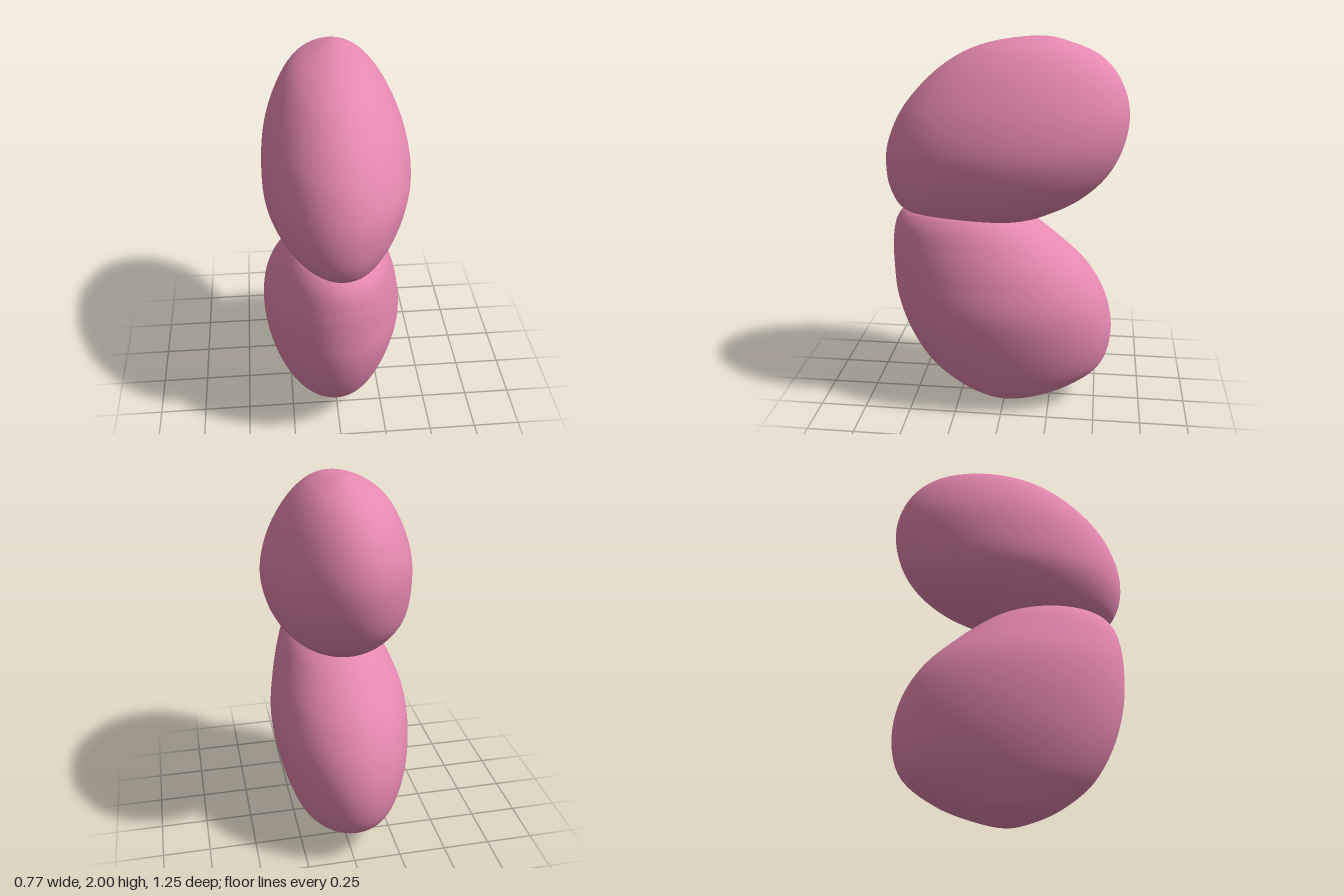
import * as THREE from 'three';

const material = new THREE.MeshStandardMaterial({ color: 0xe688b0 });

// Smooth pebble from level rows [y, left x, right x, back z, front z], listed
// bottom pole to top pole. One closed spline runs up the right/front outline and
// down the left/back one; each level between them is filled with an ellipse.
function pebble(name, rows, rings = 96, sides = 96) {
  const up = rows.map(([y, , xr, , zf]) => new THREE.Vector3(xr, y, zf));
  const down = rows.slice(1, -1).reverse().map(([y, xl, , zb]) => new THREE.Vector3(xl, y, zb));
  const outline = new THREE.CatmullRomCurve3([...up, ...down], true, 'catmullrom', 0.5);

  const positions = [];
  for (let j = 0; j <= rings; j++) {
    const t = j / rings / 2;
    const a = outline.getPoint(t);
    const b = outline.getPoint((1 - t) % 1);
    const isPole = j === 0 || j === rings;
    for (let i = 0; i < (isPole ? 1 : sides); i++) {
      const angle = (i / sides) * Math.PI * 2;
      const c = isPole ? 0 : Math.cos(angle);
      const s = isPole ? 0 : Math.sin(angle);
      positions.push(
        (a.x + b.x) / 2 + (c * (a.x - b.x)) / 2,
        a.y,
        (a.z + b.z) / 2 + (s * (a.z - b.z)) / 2
      );
    }
  }

  const last = positions.length / 3 - 1;
  const id = (j, i) => (j === 0 ? 0 : j === rings ? last : 1 + (j - 1) * sides + (i % sides));
  const index = [];
  for (let j = 0; j < rings; j++) {
    for (let i = 0; i < sides; i++) {
      if (j > 0) index.push(id(j, i), id(j + 1, i), id(j, i + 1));
      if (j < rings - 1) index.push(id(j, i + 1), id(j + 1, i), id(j + 1, i + 1));
    }
  }

  const geometry = new THREE.BufferGeometry();
  geometry.setAttribute('position', new THREE.Float32BufferAttribute(positions, 3));
  geometry.setIndex(index);
  geometry.computeVertexNormals();
  const mesh = new THREE.Mesh(geometry, material);
  mesh.name = name;
  return mesh;
}

export function createModel() {
  const model = new THREE.Group();
  model.name = 'stackedPebbles';

  // Lower pebble: bulges low at the back, upright at the front
  model.add(pebble('lowerPebble', [
    [0, 0.04, 0.04, 0, 0],
    [0.03, -0.14, 0.135, -0.19, 0.15],
    [0.1, -0.22, 0.205, -0.375, 0.29],
    [0.22, -0.3, 0.265, -0.53, 0.43],
    [0.4, -0.36, 0.32, -0.58, 0.535],
    [0.6, -0.385, 0.35, -0.55, 0.595],
    [0.78, -0.37, 0.33, -0.45, 0.61],
    [0.94, -0.31, 0.29, -0.285, 0.605],
    [1.06, -0.245, 0.245, -0.13, 0.57],
    [1.12, -0.17, 0.18, 0, 0.48],
    [1.14, 0, 0, 0.25, 0.25],
  ]));

  // Upper pebble: leans up toward the back
  model.add(pebble('upperPebble', [
    [1.04, 0, 0, 0.12, 0.12],
    [1.06, -0.13, 0.14, -0.13, 0.4],
    [1.1, -0.21, 0.22, -0.25, 0.54],
    [1.18, -0.29, 0.29, -0.4, 0.6],
    [1.3, -0.35, 0.35, -0.525, 0.625],
    [1.45, -0.36, 0.38, -0.6, 0.61],
    [1.62, -0.34, 0.355, -0.625, 0.535],
    [1.78, -0.28, 0.29, -0.58, 0.4],
    [1.9, -0.2, 0.21, -0.48, 0.24],
    [1.97, -0.09, 0.125, -0.33, 0.06],
    [2, 0.02, 0.02, -0.18, -0.18],
  ]));

  return model;
}
